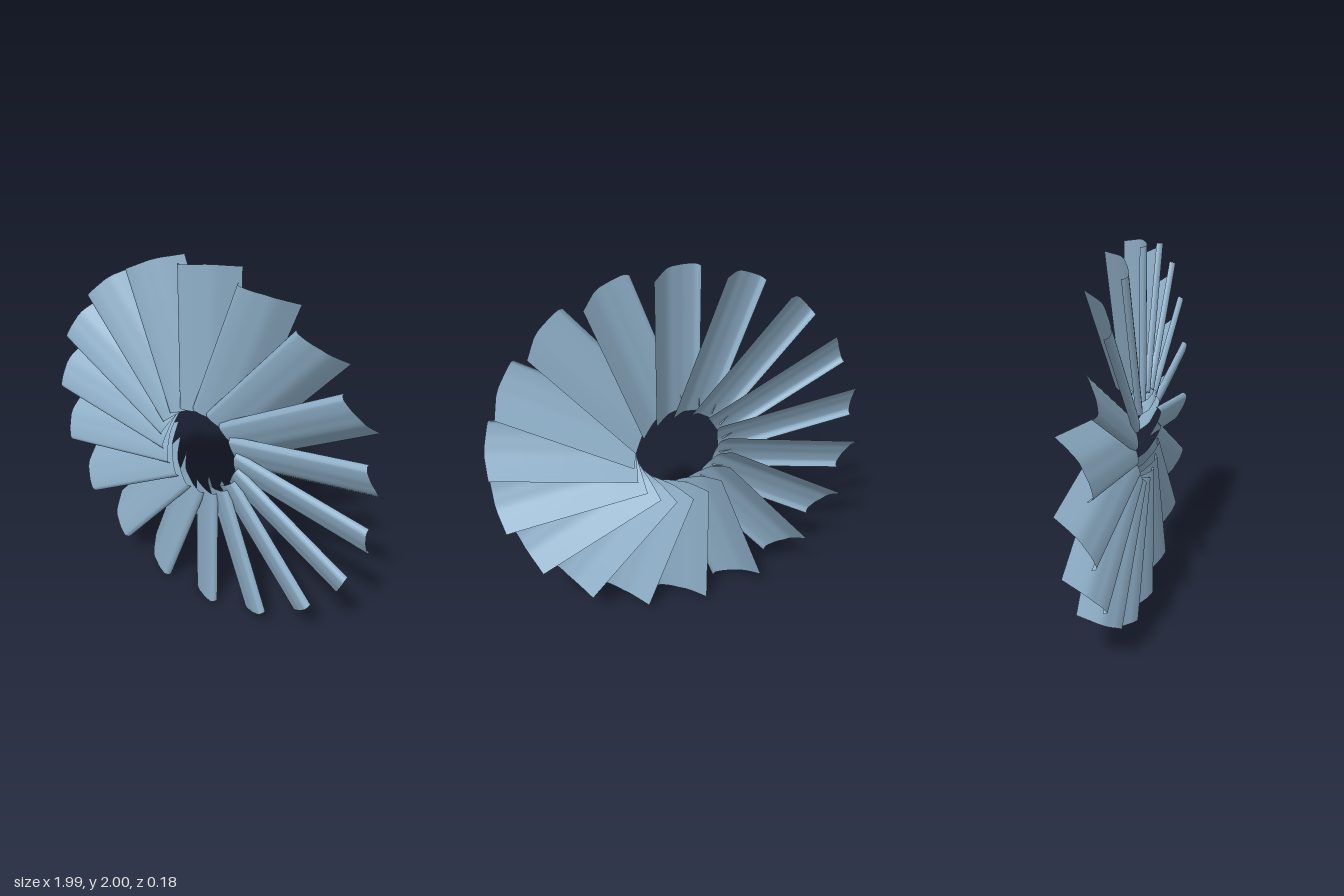
import * as THREE from 'three';

const BLADES = 18;
const INNER = 0.222; // straight root edge of each blade

// Blade cross-section (x across, z depth): curled leading edge, then a convex sweep to the back
const section = new THREE.SplineCurve([
  [-0.12, 0.06], [-0.116, 0.075], [-0.104, 0.085], [-0.088, 0.087], [-0.04, 0.073],
  [0, 0.053], [0.045, 0.028], [0.08, -0.008], [0.14, -0.088],
].map(([x, z]) => new THREE.Vector2(x, z)));

// Tip outline (x across, y radius), slightly peaked near the middle
const tip = [[-0.121, 0.981], [-0.09, 0.988], [0.025, 1.0], [0.065, 0.998], [0.141, 0.979]];
function tipRadius(x) {
  for (let i = 1; i < tip.length; i++) {
    const [x0, r0] = tip[i - 1], [x1, r1] = tip[i];
    if (x <= x1) return r0 + (r1 - r0) * (x - x0) / (x1 - x0);
  }
  return tip[tip.length - 1][1];
}

// Thin blade: a plane bent along the cross-section and stretched from root to tip
function bladeGeometry() {
  const geo = new THREE.PlaneGeometry(1, 1, 32, 4);
  const pos = geo.attributes.position;
  for (let i = 0; i < pos.count; i++) {
    const p = section.getPoint(pos.getX(i) + 0.5);
    const v = pos.getY(i) + 0.5;
    pos.setXYZ(i, p.x, THREE.MathUtils.lerp(INNER, tipRadius(p.x), v), p.y);
  }
  geo.computeVertexNormals();
  return geo;
}

export function createModel() {
  const model = new THREE.Group();
  model.name = 'bladeWheel';
  const material = new THREE.MeshStandardMaterial({ color: 0x8fb0c9, side: THREE.DoubleSide });
  const geo = bladeGeometry();

  // Ring of blades around the open centre
  const ring = new THREE.Group();
  ring.name = 'bladeRing';
  ring.position.y = 1;
  for (let i = 0; i < BLADES; i++) {
    const blade = new THREE.Mesh(geo, material);
    blade.name = `blade${i + 1}`;
    blade.rotation.z = (i / BLADES) * Math.PI * 2;
    ring.add(blade);
  }
  model.add(ring);
  return model;
}
